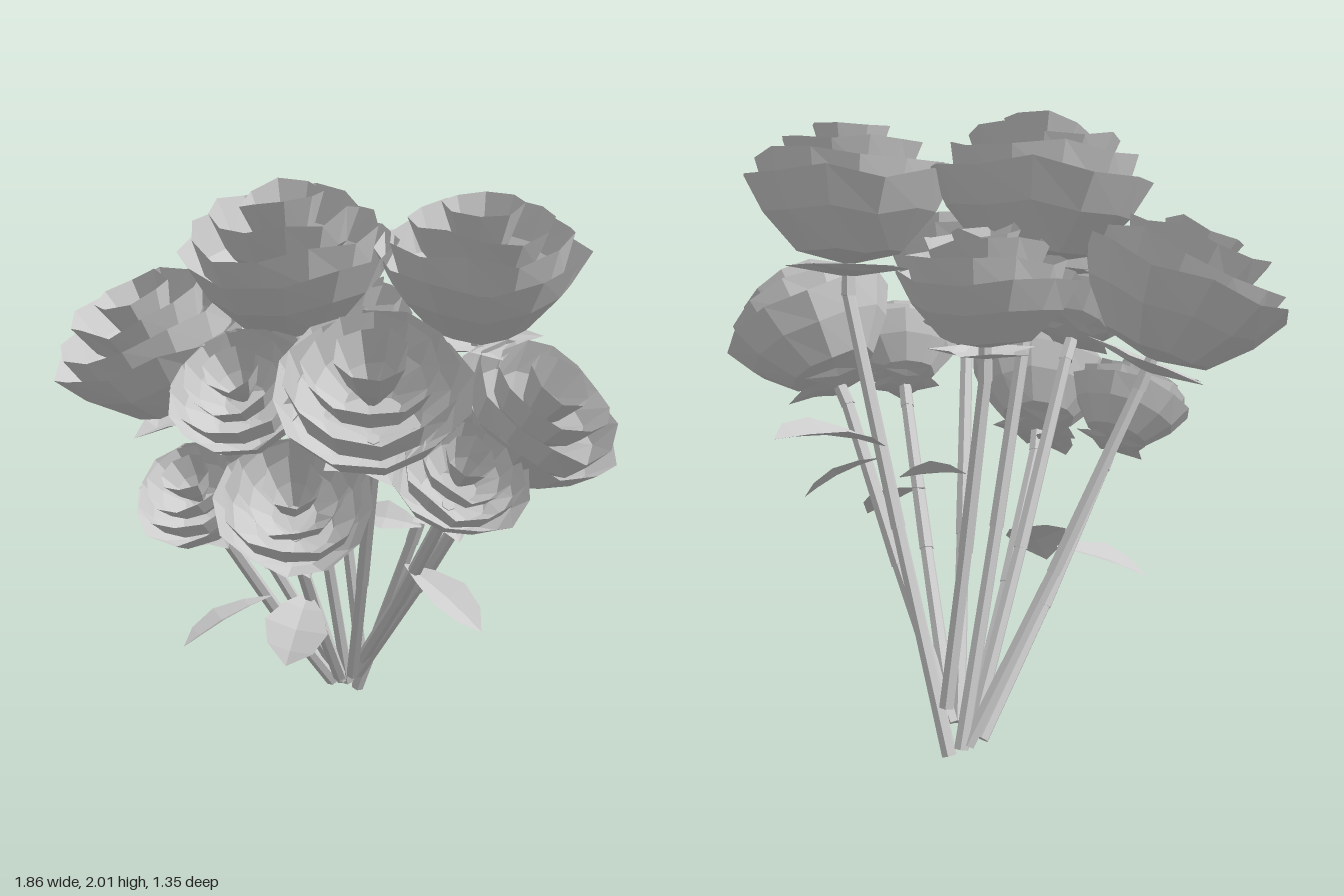
import * as THREE from 'three';

const V = (a) => new THREE.Vector3(...a);
const UP = new THREE.Vector3(0, 1, 0);
const grey = new THREE.MeshStandardMaterial({ color: 0xcccccc, flatShading: true, side: THREE.DoubleSide });
grey.name = 'plain grey';

let seed = 11;
const rnd = () => (seed = (seed * 16807) % 2147483647) / 2147483647;

// Grid of points (rows of equal length) turned into a faceted open skin
function skin(rows) {
  const n = rows[0].length, idx = [];
  for (let i = 0; i < rows.length - 1; i++) {
    for (let j = 0; j < n - 1; j++) {
      const a = i * n + j, b = a + n;
      idx.push(a, a + 1, b, b, a + 1, b + 1);
    }
  }
  const g = new THREE.BufferGeometry();
  g.setAttribute('position', new THREE.Float32BufferAttribute(rows.flat(2), 3));
  g.setIndex(idx);
  const faceted = g.toNonIndexed();
  faceted.computeVertexNormals();
  return faceted;
}

function add(group, name, geometry) {
  const m = new THREE.Mesh(geometry, grey);
  m.name = name;
  group.add(m);
  return m;
}

// Petal whorls, outermost first: [radius, height] profiles for a bloom of radius 1
const WHORLS = [
  [[0.06, 0], [0.5, 0.1], [0.83, 0.45], [1.02, 0.78]],
  [[0.5, 0.35], [0.78, 0.62], [0.88, 0.96]],
  [[0.28, 0.52], [0.55, 0.8], [0.68, 1.12]],
  [[0.08, 0.6], [0.25, 0.88], [0.38, 1.23]],
];

// One whorl: a cup whose petals overlap in steps, with an uneven rim
function whorl(profile, k) {
  const sides = k < 3 ? 12 : 8, petal = k === 1 ? 3 : 4, turn = rnd() * 6.28;
  const jag = Array.from({ length: sides }, () => rnd() - 0.5);
  return skin(profile.map(([r, h], i) => {
    const t = i / (profile.length - 1), row = [];
    for (let j = 0; j <= sides; j++) {
      const s = j % sides, a = turn + (j / sides) * Math.PI * 2;
      const step = (s % petal) / petal;
      const rr = r * (1 - 0.07 * step * t);
      const hh = h + t * (jag[s] * 0.12 + (step - 0.3) * 0.05);
      row.push([Math.cos(a) * rr, hh, -Math.sin(a) * rr]);
    }
    return row;
  }));
}

// Broad five-pointed collar beneath the bloom
function sepals() {
  const ring = (valley, valleyH, tip, tipH) => Array.from({ length: 11 }, (_, j) => {
    const a = (j / 10) * Math.PI * 2, r = j % 2 ? valley : tip;
    return [Math.cos(a) * r, j % 2 ? valleyH : tipH, -Math.sin(a) * r];
  });
  return skin([ring(0.05, -0.12, 0.05, -0.12), ring(0.3, -0.08, 0.36, -0.07), ring(0.42, -0.02, 0.62, -0.03)]);
}

// Leaf folded along its midrib, from base to tip
function leaf(base, tip, width, facing) {
  const a = V(base), b = V(tip), along = b.clone().sub(a);
  const side = along.clone().cross(V(facing)).normalize();
  const up = side.clone().cross(along).normalize();
  return skin([[0, 0.06], [0.25, 0.6], [0.55, 1], [0.82, 0.72], [1, 0]].map(([t, w]) => {
    const mid = a.clone().addScaledVector(along, t).addScaledVector(up, 0.1 * width * Math.sin(t * Math.PI));
    return [-1, 0, 1].map((s) => mid.clone()
      .addScaledVector(side, s * w * width / 2)
      .addScaledVector(up, Math.abs(s) * w * width * 0.14).toArray());
  }));
}

// Faceted stem through a few points, bending near the bloom
function stem(points) {
  const group = new THREE.Group();
  points.slice(1).forEach((end, i) => {
    const d = end.clone().sub(points[i]);
    const m = add(group, 'stemSection', new THREE.CylinderGeometry(0.022, 0.025, d.length() + 0.01, 6));
    m.position.copy(points[i]).addScaledVector(d, 0.5);
    m.quaternion.setFromUnitVectors(UP, d.normalize());
  });
  return group;
}

// Blooms: rim centre, radius, facing, stem foot
const ROSES = [
  [[-0.14, 1.81, -0.07], 0.362, [-0.07, 0.97, 0.17], [0.06, 0.04, -0.55]],
  [[0.49, 1.79, -0.05], 0.352, [0.0, 0.97, 0.17], [0.1, 0.015, -0.55]],
  [[-0.605, 1.5, -0.16], 0.355, [-0.36, 0.92, 0.16], [0.04, 0.05, -0.54]],
  [[0.0, 1.535, -0.40], 0.29, [0, 0.98, 0.05], [0.11, 0.17, -0.53]],
  [[0.14, 1.46, 0.42], 0.31, [-0.03, 0.83, 0.55], [0.08, 0.1, -0.48]],
  [[-0.27, 1.41, 0.25], 0.245, [-0.2, 0.77, 0.58], [0.03, 0.07, -0.51]],
  [[-0.43, 1.04, 0.15], 0.215, [-0.3, 0.78, 0.5], [0.0, 0.06, -0.51]],
  [[-0.10, 1.07, 0.36], 0.255, [0, 0.76, 0.62], [0.03, 0.11, -0.44]],
  [[0.42, 1.18, 0.40], 0.22, [0.2, 0.78, 0.6], [0.12, 0.18, -0.45]],
  [[0.68, 1.305, 0.10], 0.305, [0.45, 0.8, 0.35], [0.1, 0.1, -0.49]],
];

// Leaves: base, tip, width, facing
const LEAVES = [
  [[-0.07, 0.61, -0.03], [-0.14, 0.43, 0.18], 0.22, [0, 0.6, 0.8]],
  [[-0.2, 0.57, -0.1], [-0.5, 0.43, 0.03], 0.17, [-0.4, 0.9, 0]],
  [[0.26, 0.73, 0.0], [0.51, 0.57, 0.2], 0.16, [0.3, 0.8, 0.5]],
  [[0.38, 0.88, -0.18], [0.62, 0.76, -0.26], 0.16, [0.4, 0.9, 0.2]],
  [[0.32, 0.81, -0.16], [0.09, 0.84, -0.2], 0.13, [0, 0.8, 0.5]],
  [[0.32, 0.98, -0.41], [0.6, 1.06, -0.68], 0.24, [0, 1, 0]],
  [[-0.12, 0.92, 0.05], [-0.2, 0.8, 0.24], 0.12, [0, 0.8, 0.5]],
];

export function createModel() {
  const bouquet = new THREE.Group();
  bouquet.name = 'roseBouquet';

  ROSES.forEach(([centre, radius, facing, foot], i) => {
    const dir = V(facing).normalize();
    const base = V(centre).addScaledVector(dir, -0.8 * radius);

    const rose = new THREE.Group();
    rose.name = `rose${i + 1}`;
    WHORLS.forEach((profile, k) => add(rose, `petalWhorl${k + 1}`, whorl(profile, k)));
    add(rose, 'sepals', sepals());
    rose.position.copy(base);
    rose.quaternion.setFromUnitVectors(UP, dir);
    rose.scale.setScalar(radius);
    bouquet.add(rose);

    const neck = base.clone().addScaledVector(dir, -0.1);
    const middle = V(foot).lerp(neck, 0.5).add(new THREE.Vector3(0, -0.02, 0));
    const stalk = stem([V(foot), middle, neck, base]);
    stalk.name = `stem${i + 1}`;
    bouquet.add(stalk);
  });

  LEAVES.forEach((args, i) => add(bouquet, `leaf${i + 1}`, leaf(...args)));
  return bouquet;
}
